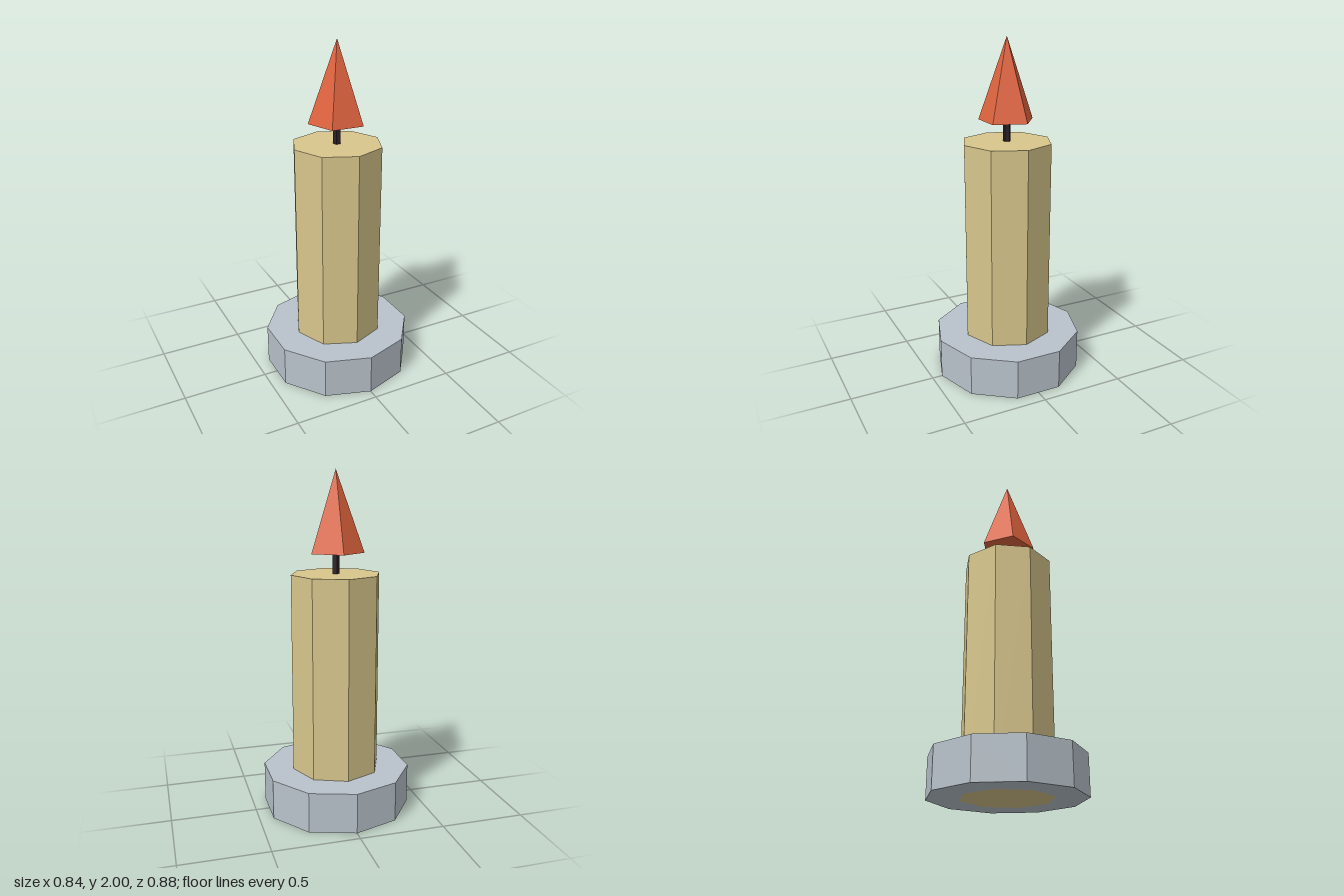
import * as THREE from 'three';

const material = (name, color) => {
  const m = new THREE.MeshStandardMaterial({ color, flatShading: true });
  m.name = name;
  return m;
};

// Regular polygon with one corner on the z axis
const polygon = (radius, sides) => Array.from({ length: sides }, (_, i) => {
  const a = (i / sides) * Math.PI * 2;
  return new THREE.Vector2(Math.sin(a) * radius, Math.cos(a) * radius);
});

export function createModel() {
  const group = new THREE.Group();
  group.name = 'candle';

  const add = (name, geometry, mat) => {
    const mesh = new THREE.Mesh(geometry, mat);
    mesh.name = name;
    group.add(mesh);
  };

  // Upright prism or cone between two heights, with a corner pointing back
  const prism = (name, rTop, rBottom, sides, y0, y1, mat) => {
    const g = new THREE.CylinderGeometry(rTop, rBottom, y1 - y0, sides);
    g.rotateY(Math.PI).translate(0, (y0 + y1) / 2, 0);
    add(name, g, mat);
  };

  const waxRadius = 0.265;

  // Ten-sided holder ring, open in the middle for the wax
  const ring = new THREE.Shape(polygon(0.44, 10));
  ring.holes.push(new THREE.Path(polygon(waxRadius, 8)));
  const holder = new THREE.ExtrudeGeometry(ring, { depth: 0.238, bevelEnabled: false });
  holder.rotateX(-Math.PI / 2);
  add('holder', holder, material('pewter', 0xb9c3cb));

  // Wax column runs through the holder to the ground
  prism('waxColumn', waxRadius, waxRadius, 8, 0, 1.415, material('wax', 0xd8c68c));

  // Wick and five-sided flame
  prism('wick', 0.022, 0.022, 5, 1.4, 1.545, material('wick black', 0x2b2126));
  prism('flame', 0, 0.165, 5, 1.535, 2, material('flame orange', 0xe0643f));

  return group;
}
